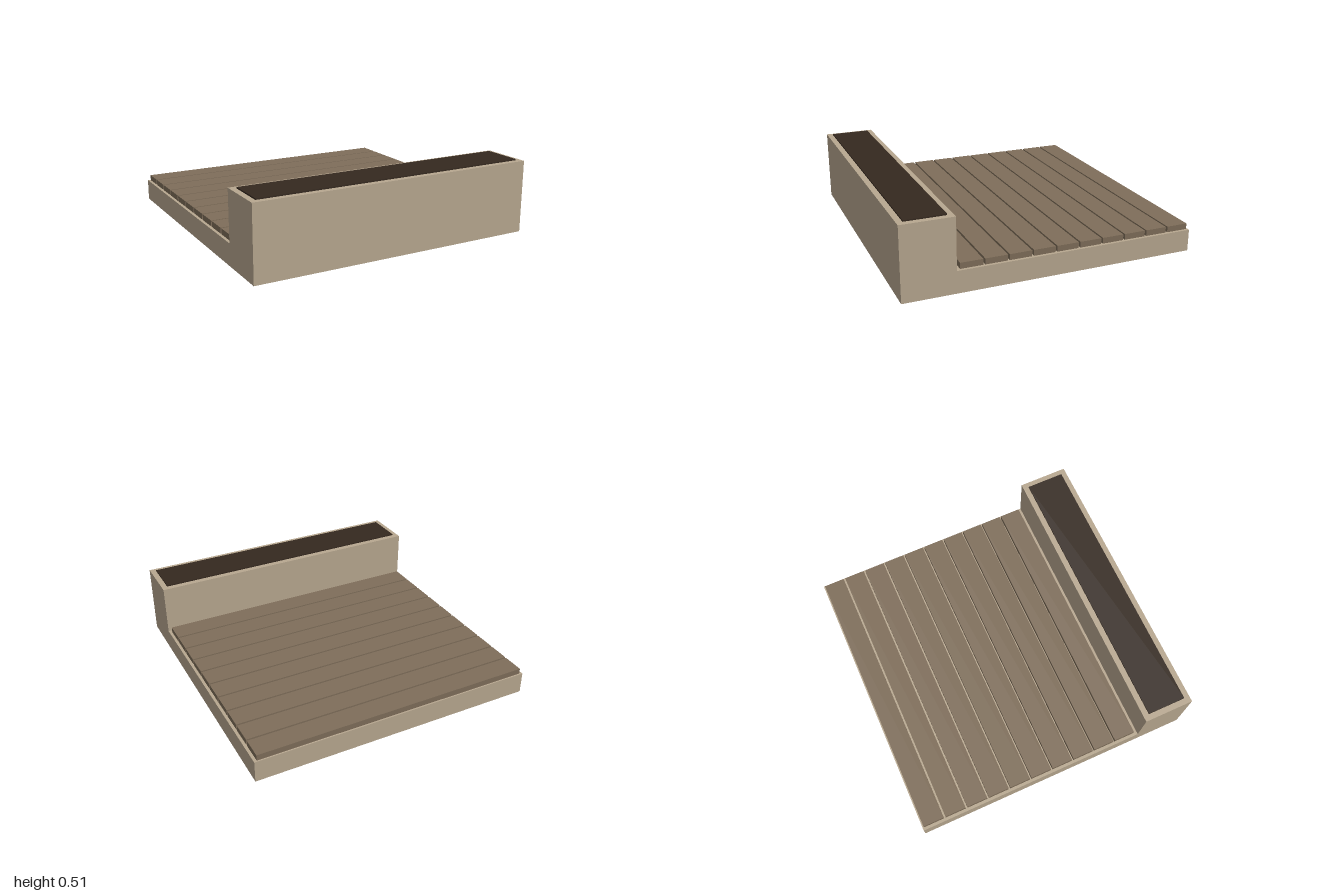
import * as THREE from 'three';

export function createModel() {
  const group = new THREE.Group();
  const stone = new THREE.MeshStandardMaterial({ name: 'stone', color: 0xb8a890 });
  const wood = new THREE.MeshStandardMaterial({ name: 'wood', color: 0x7f6e5a });
  const soil = new THREE.MeshStandardMaterial({ name: 'soil', color: 0x35291f });

  function add(name, geometry, material, x = 0, y = 0, z = 0) {
    const mesh = new THREE.Mesh(geometry, material);
    mesh.name = name;
    mesh.position.set(x, y, z);
    group.add(mesh);
    return mesh;
  }

  // L-shaped base: low platform with a raised planter along the front.
  // The profile is drawn with shape x = -z, then turned to run along x.
  const profile = new THREE.Shape([
    [-1, 0], [1, 0], [1, 0.15], [-0.65, 0.15], [-0.65, 0.5], [-1, 0.5],
  ].map(([x, y]) => new THREE.Vector2(x, y)));
  const baseGeometry = new THREE.ExtrudeGeometry(profile, { depth: 2, bevelEnabled: false });
  baseGeometry.translate(0, 0, -1).rotateY(Math.PI / 2);
  add('base', baseGeometry, stone);

  // Deck planks across the platform
  const plankGeometry = new THREE.BoxGeometry(1.96, 0.04, 0.15);
  for (let i = 0; i < 10; i++) {
    add(`plank${i + 1}`, plankGeometry, wood, 0, 0.17, -0.915 + i * 0.1625);
  }

  // Soil bed on top of the planter
  add('soilBed', new THREE.BoxGeometry(1.92, 0.009, 0.27), soil, 0, 0.5045, 0.825);

  return group;
}
